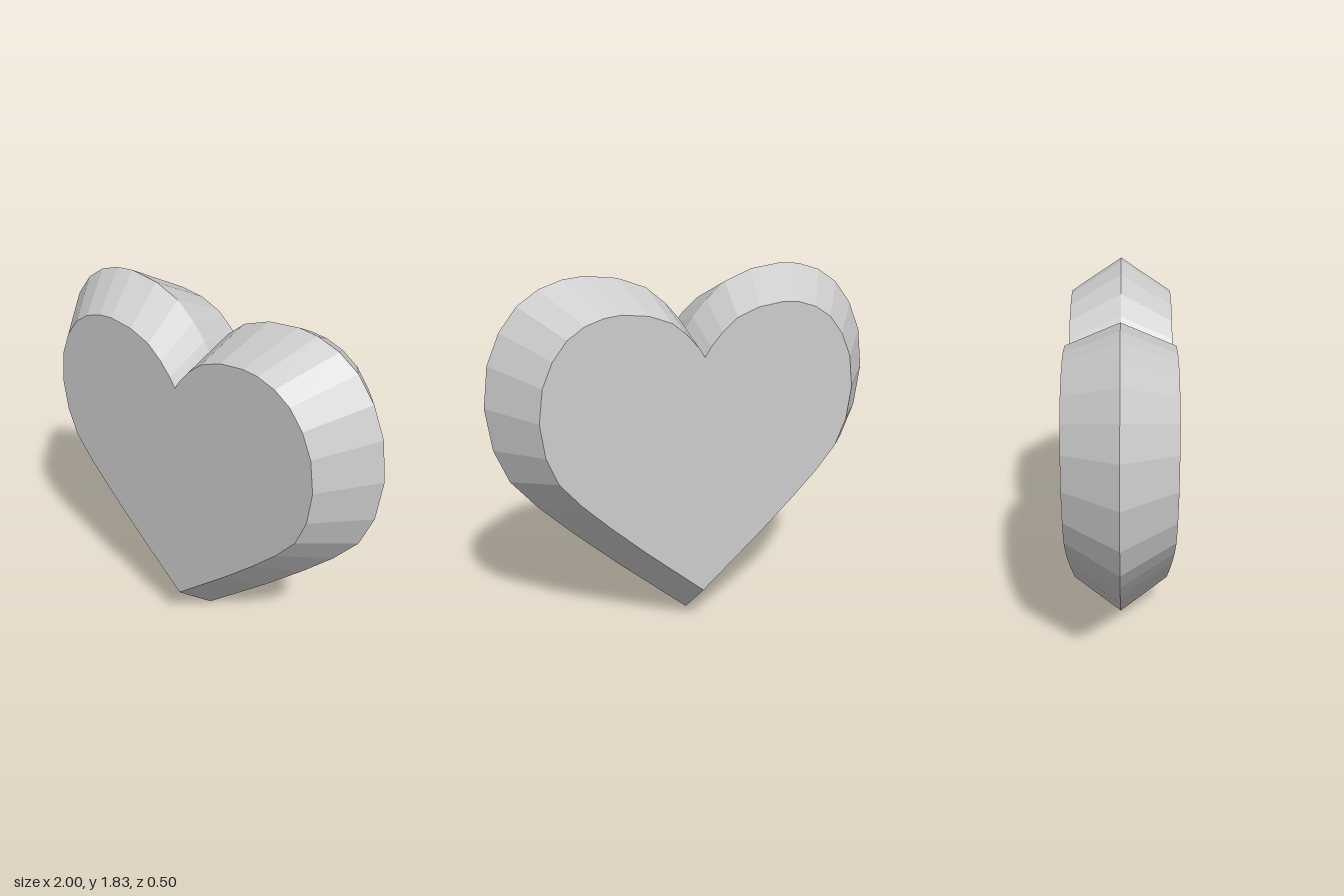
import * as THREE from 'three';

// Right half of the widest outline, from bottom tip to top notch
const HALF = [
  [0, 0], [0.375, 0.33], [0.604, 0.543], [0.775, 0.714], [0.904, 0.869], [0.973, 1.04],
  [1, 1.25], [0.973, 1.452], [0.909, 1.6], [0.82, 1.714], [0.717, 1.783], [0.604, 1.82],
  [0.503, 1.83], [0.342, 1.81], [0.203, 1.757], [0.107, 1.676], [0.037, 1.596], [0, 1.538],
];
const CENTRE_Y = 1.14; // the outline shrinks towards this height

// Cross-sections from front to back: [scale, z]
const SECTIONS = [[0, 0.25], [0.8, 0.25], [1, 0], [0.8, -0.25], [0, -0.25]];

function heartGeometry() {
  // Closed outline, counter-clockwise seen from the front
  const mirrored = HALF.slice(1, -1).reverse().map(([x, y]) => [-x, y]);
  const outline = [...HALF, ...mirrored];
  const n = outline.length;

  const positions = [];
  for (const [s, z] of SECTIONS) {
    for (const [x, y] of outline) positions.push(x * s, CENTRE_Y + (y - CENTRE_Y) * s, z);
  }

  const index = [];
  const last = SECTIONS.length - 2;
  for (let k = 0; k <= last; k++) {
    for (let i = 0; i < n; i++) {
      const j = (i + 1) % n;
      const a = k * n + i, b = k * n + j, c = a + n, d = b + n;
      // The flat faces are fans, so they need one triangle per edge
      if (k < last) index.push(a, c, d);
      if (k === last) index.push(a, c, b);
      else if (k > 0) index.push(a, d, b);
    }
  }

  const indexed = new THREE.BufferGeometry();
  indexed.setAttribute('position', new THREE.Float32BufferAttribute(positions, 3));
  indexed.setIndex(index);
  const geometry = indexed.toNonIndexed();
  geometry.computeVertexNormals();
  return geometry;
}

export function createModel() {
  const group = new THREE.Group();
  group.name = 'heart';
  const material = new THREE.MeshStandardMaterial({ color: 0xcccccc, flatShading: true });
  const body = new THREE.Mesh(heartGeometry(), material);
  body.name = 'heartBody';
  group.add(body);
  return group;
}
